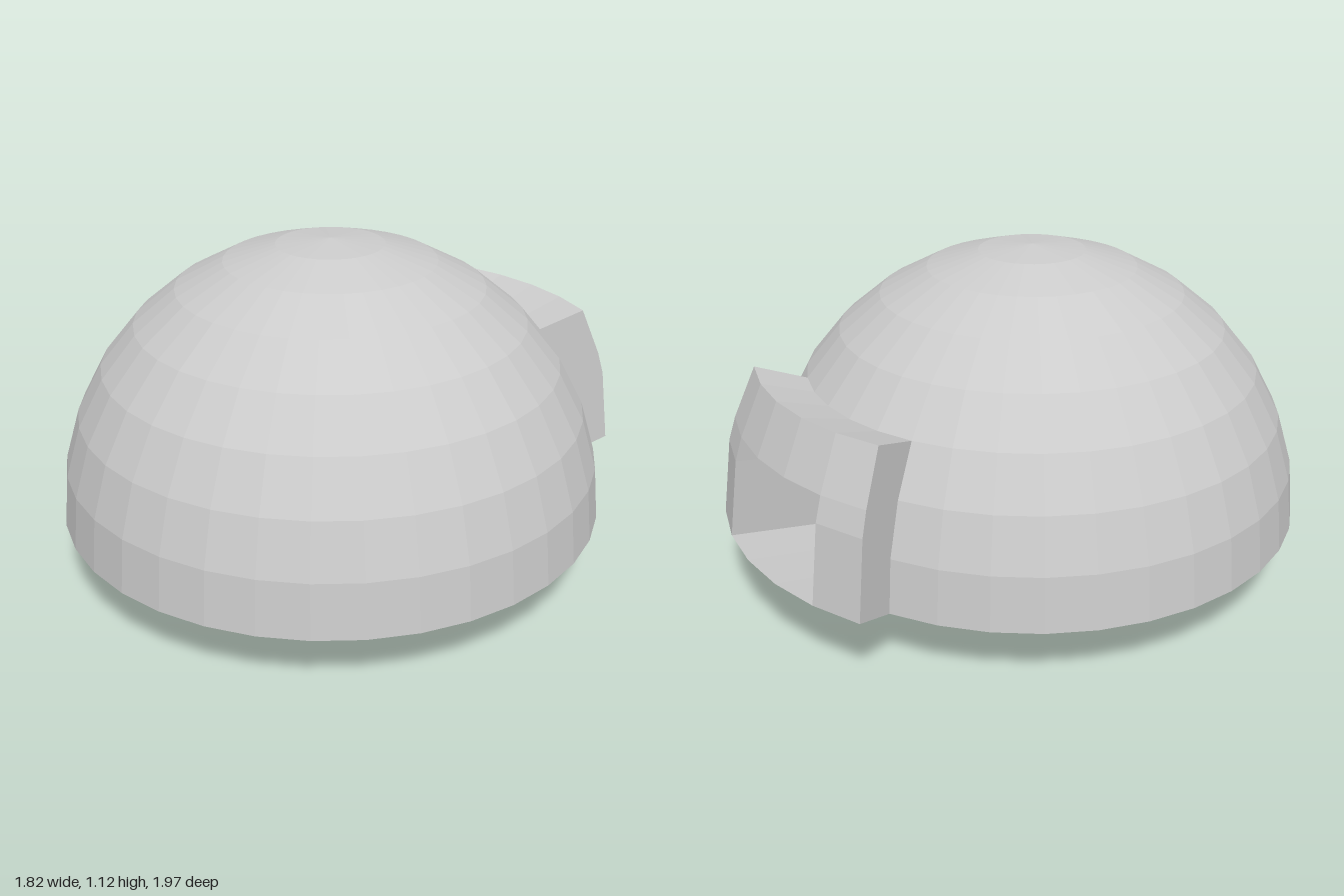
import * as THREE from 'three';

const material = new THREE.MeshStandardMaterial({ color: 0xcccccc, flatShading: true, side: THREE.DoubleSide });
const RIM = 0.22, RADIUS = 0.91, CENTRE_Z = 0.08;

// Point at an angle around the dome axis, 0 degrees being straight back
const polar = (deg, [r, y]) => {
  const a = THREE.MathUtils.degToRad(deg);
  return new THREE.Vector3(r * Math.sin(a), y, CENTRE_Z - r * Math.cos(a));
};

// Faceted skin over rows of points, with optional cells left open
function skin(name, rows, skip = () => false) {
  const points = [];
  for (let i = 0; i < rows.length - 1; i++) {
    for (let j = 0; j < rows[i].length - 1; j++) {
      if (skip(i, j)) continue;
      const a = rows[i][j + 1], b = rows[i][j], c = rows[i + 1][j], d = rows[i + 1][j + 1];
      points.push(a, b, c);
      if (c.distanceTo(d) > 1e-5) points.push(a, c, d);
    }
  }
  const geometry = new THREE.BufferGeometry().setFromPoints(points);
  geometry.computeVertexNormals();
  const mesh = new THREE.Mesh(geometry, material);
  mesh.name = name;
  return mesh;
}

export function createModel() {
  const group = new THREE.Group();
  group.name = 'igloo';

  // Columns: five across the porch, the rest round the dome
  const angles = [];
  for (let k = 0; k <= 36; k++) {
    angles.push(k <= 5 ? -19 + 9.7 * k : 29.5 + (k - 5) * (311.5 / 31));
  }
  const porchAngles = angles.slice(0, 6);

  // Dome, open below and behind the porch
  const domeProfile = [];
  for (let i = 0; i <= 8; i++) {
    const t = (i / 8) * Math.PI / 2;
    domeProfile.push([i === 8 ? 0 : RADIUS * Math.cos(t), RIM + RADIUS * Math.sin(t)]);
  }
  const domeRows = domeProfile.map((p) => angles.map((a) => polar(a, p)));
  group.add(skin('dome', domeRows, (i, j) => i < 3 && j < 5));

  // Porch shell with the doorway left open
  const outer = [[1.06, 0.27], [1.025, 0.53], [1.0, 0.61], [0.925, 0.78]];
  const porchProfile = [domeProfile[0], ...outer, domeProfile[3]];
  const porchRows = porchProfile.map((p) => porchAngles.map((a) => polar(a, p)));
  group.add(skin('porch', porchRows, (i, j) => (i === 1 || i === 2) && j >= 1 && j <= 3));

  // Porch end walls, between the dome and the porch face
  [[porchAngles[0], 'porchEndRight', false], [porchAngles[5], 'porchEndLeft', true]].forEach(([a, name, flip]) => {
    const rows = outer.map((p, i) => {
      const pair = [polar(a, p), polar(a, domeProfile[i])];
      return flip ? pair.reverse() : pair;
    });
    group.add(skin(name, rows));
  });

  // Tunnel: the doorway outline swept down and inward, closed at its end
  const shift = new THREE.Vector3(-0.115, -0.26, 1.31);
  const door = outer.slice(0, 3).map((p) => porchAngles.slice(1, 5).map((a) => polar(a, p)));
  const outline = [...door[0], door[1][3], ...[...door[2]].reverse(), door[1][0], door[0][0]];
  const inward = (row) => row.map((p) => p.clone().add(shift));
  group.add(skin('tunnel', [outline, inward(outline)]));
  group.add(skin('tunnelEnd', door.map(inward)));

  return group;
}
